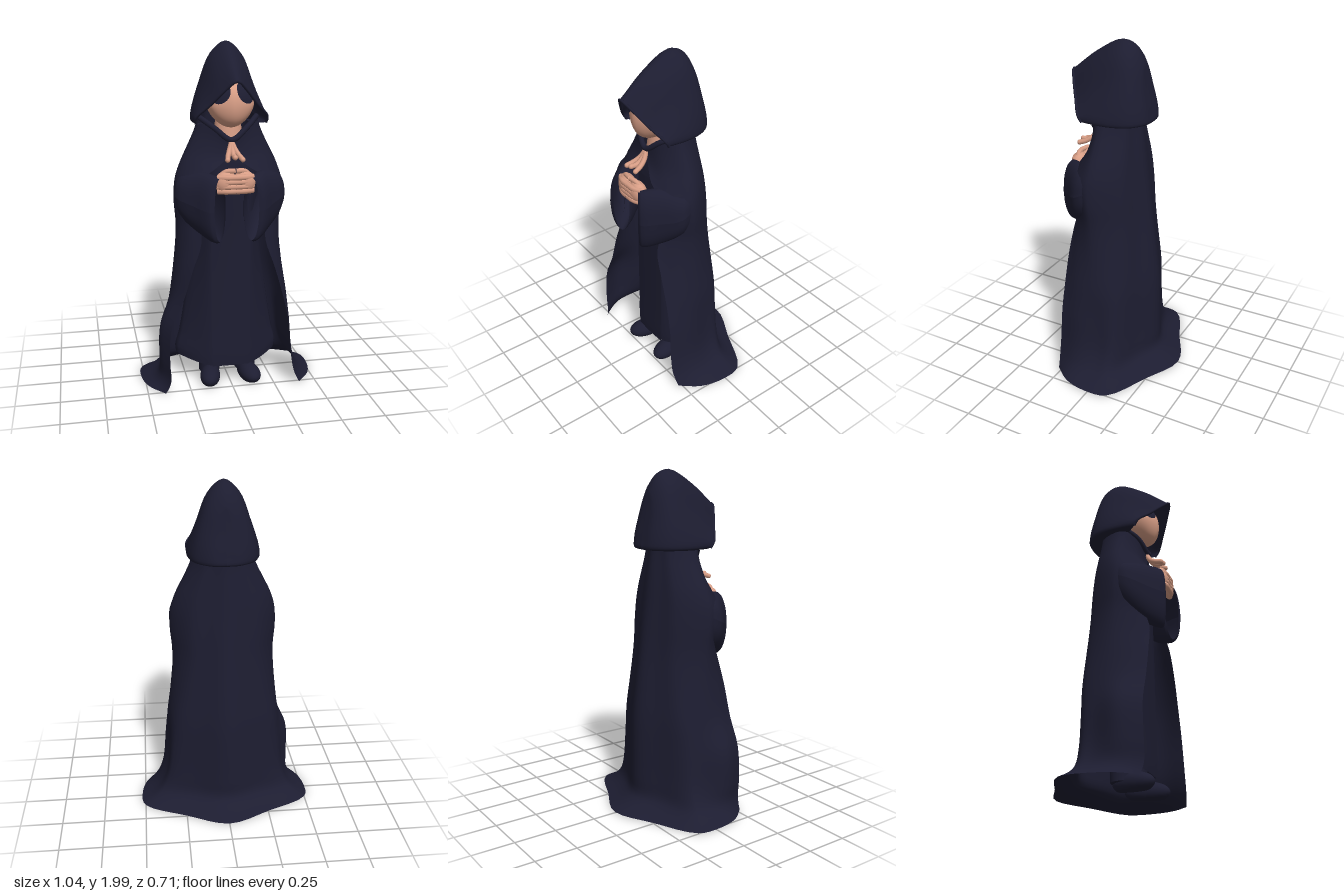
import * as THREE from 'three';

const navy = new THREE.MeshStandardMaterial({ color: 0x1d1d31, side: THREE.DoubleSide });
navy.name = 'navy cloth';
const skin = new THREE.MeshStandardMaterial({ color: 0xd89e86 });
skin.name = 'skin';

const V = (x, y, z) => new THREE.Vector3(x, y, z);
const mirrored = (half) => [...half.slice(1).reverse().map((p) => V(-p.x, p.y, p.z)), ...half];

// Smooth surface through a grid of cross-sections
function surface(rows, sub) {
  const smooth = (pts) => new THREE.CatmullRomCurve3(pts).getPoints((pts.length - 1) * sub);
  const across = rows.map(smooth);
  const columns = across[0].map((_, i) => smooth(across.map((r) => r[i])));
  const n = columns[0].length;
  const index = [];
  for (let i = 0; i < columns.length - 1; i++) {
    for (let j = 0; j < n - 1; j++) {
      const a = i * n + j;
      index.push(a, a + 1, a + n, a + 1, a + n + 1, a + n);
    }
  }
  const g = new THREE.BufferGeometry().setFromPoints(columns.flat());
  g.setIndex(index);
  g.computeVertexNormals();
  return g;
}

const tube = (points, radius) =>
  new THREE.TubeGeometry(new THREE.CatmullRomCurve3(points), 32, radius, 8);

// Point on the face: a long flat-fronted ellipsoid with a centre ridge and a narrow chin
function headPoint(p) {
  const x = p.x * 0.13 * (p.y < 0 ? 1 + 0.2 * p.y : 1);
  const front = p.z > 0 ? Math.pow(p.z, 0.5) : p.z;
  const ridge = p.z > 0 ? 0.014 * p.z * (1 - Math.min(1, Math.abs(p.x) * 1.6)) : 0;
  return p.set(x, 1.66 + p.y * 0.125, 0.125 + front * 0.135 + ridge);
}

function moveVertices(g, rule) {
  const pos = g.attributes.position;
  const p = V(0, 0, 0);
  for (let i = 0; i < pos.count; i++) {
    rule(p.fromBufferAttribute(pos, i));
    pos.setXYZ(i, p.x, p.y, p.z);
  }
  g.computeVertexNormals();
  return g;
}

export function createModel() {
  const model = new THREE.Group();
  const add = (name, geometry, material) => {
    const m = new THREE.Mesh(geometry, material);
    m.name = name;
    model.add(m);
    return m;
  };

  // Cloak: y back, y front, half width, back z, front edge x, front edge z, extra on right
  const cloakRows = [
    [1.6, 1.47, 0.165, -0.085, 0.0, 0.2, 0],
    [1.51, 1.42, 0.195, -0.09, 0.0, 0.195, 0],
    [1.42, 1.37, 0.237, -0.1, 0.03, 0.205, 0],
    [1.33, 1.31, 0.28, -0.11, 0.11, 0.24, 0],
    [1.24, 1.24, 0.307, -0.12, 0.22, 0.235, 0],
    [1.12, 1.12, 0.314, -0.135, 0.255, 0.19, 0],
    [1.0, 1.0, 0.304, -0.15, 0.19, 0.23, 0],
    [0.9, 0.9, 0.305, -0.163, 0.185, 0.262, 0],
    [0.75, 0.75, 0.317, -0.183, 0.235, 0.272, 0],
    [0.57, 0.57, 0.335, -0.203, 0.288, 0.274, 0.005],
    [0.4, 0.4, 0.338, -0.208, 0.325, 0.278, 0.055],
    [0.2, 0.2, 0.357, -0.21, 0.342, 0.284, 0.045],
    [0.1, 0.1, 0.4, -0.215, 0.36, 0.284, 0.012],
    [0.05, 0.05, 0.45, -0.27, 0.38, 0.278, 0],
    [0.012, 0.012, 0.52, -0.355, 0.4, 0.272, 0],
  ];
  const cloakSection = ([yb, yf, w, zb, xe, zf, extra], side) => {
    const y = (t) => yb + (yf - yb) * t;
    const k = THREE.MathUtils.smoothstep(yb, 0.15, 1.25);
    const bulge = side < 0 ? extra : 0;
    // The back is a shallow wedge whose corners move inward towards the shoulders
    const cornerX = (0.96 - 0.3 * k) * w;
    const cornerZ = zb * (0.33 + 0.17 * k);
    const sideZ = 0.02 + 0.07 * k;
    const mx = (w + xe) / 2 + (zf - sideZ) * 0.1 + bulge;
    const mz = (sideZ + zf) / 2 + (w - xe) * 0.14;
    return [
      V(0, yb, zb), V(0.5 * cornerX, yb, zb + (cornerZ - zb) * 0.44), V(cornerX, yb, cornerZ),
      V(w + 0.4 * bulge, y(0.1), sideZ), V(mx, y(0.5), mz), V(xe + 0.7 * bulge, yf, zf),
    ].map((p) => V(p.x * side, p.y, p.z));
  };
  const cloak = cloakRows.map((r) => [
    ...cloakSection(r, -1).slice(1).reverse(), ...cloakSection(r, 1),
  ]);
  add('cloak', surface(cloak, 4), navy);

  // Collar band along the neckline
  const neckline = cloakSection(cloakRows[0], 1).slice(3).reverse();
  add('collar', tube(mirrored(neckline), 0.016), navy);

  // Hood: arches from the front opening to the back, each listed from top to hem
  const hoodArches = [
    [V(0, 1.8, 0.345), V(0.06, 1.75, 0.312), V(0.13, 1.67, 0.26), V(0.2, 1.595, 0.205), V(0.197, 1.562, 0.185)],
    [V(0, 1.92, 0.19), V(0.08, 1.86, 0.17), V(0.14, 1.75, 0.14), V(0.205, 1.61, 0.1), V(0.203, 1.56, 0.08)],
    [V(0, 2.0, 0.03), V(0.085, 1.935, 0.02), V(0.145, 1.79, 0.01), V(0.198, 1.61, 0), V(0.195, 1.56, 0)],
    [V(0, 1.97, -0.05), V(0.075, 1.91, -0.055), V(0.13, 1.77, -0.07), V(0.165, 1.61, -0.085), V(0.16, 1.56, -0.085)],
    [V(0, 1.88, -0.1), V(0.04, 1.84, -0.105), V(0.07, 1.74, -0.12), V(0.085, 1.61, -0.145), V(0.08, 1.56, -0.145)],
    [V(0, 1.85, -0.106), V(0, 1.81, -0.113), V(0, 1.72, -0.13), V(0, 1.61, -0.152), V(0, 1.56, -0.156)],
  ];
  const hood = hoodArches.map((half) => {
    const hem = half[4];
    return mirrored([...half, V(hem.x * 0.6, 1.555, hem.z * 0.55)]);
  });
  add('hood', surface(hood, 4), navy);
  add('hoodRim', tube(mirrored(hoodArches[0]), 0.008), navy);

  // Robe: y, half width, front z, half width of the flat front
  const robeRows = [
    [1.5, 0.1, 0.14, 0.05], [1.4, 0.16, 0.165, 0.07], [1.28, 0.2, 0.185, 0.09], [1.1, 0.19, 0.185, 0.1],
    [0.92, 0.19, 0.185, 0.112], [0.6, 0.235, 0.187, 0.115], [0.3, 0.285, 0.19, 0.114],
    [0.17, 0.31, 0.192, 0.113], [0.12, 0.305, 0.19, 0.113],
  ];
  const robe = robeRows.map(([y, w, z, flat]) => {
    const hem = y < 0.2 ? 0.04 : 0;
    return mirrored([
      V(0, y, z), V(flat * 0.5, y, z - 0.001), V(flat, y, z - 0.006),
      V((flat + w) / 2, y + hem * 0.4, z * 0.58 + 0.02), V(w, y + hem, 0.02),
      V(w * 0.6, y + hem, -0.055), V(0, y + hem, -0.075),
    ]);
  });
  add('robe', surface(robe, 3), navy);

  // Front panel of the robe, slightly raised
  const panel = robeRows.slice(2).map(([y, , z, flat]) =>
    [-1, -0.5, 0, 0.5, 1].map((t) => V(t * flat, y, z + 0.008 - 0.004 * t * t)));
  add('robePanel', surface(panel, 3), navy);

  // Neck and face
  const neck = add('neck', new THREE.CylinderGeometry(0.07, 0.09, 0.16, 24), skin);
  neck.position.set(0, 1.5, 0.088);
  add('face', moveVertices(new THREE.SphereGeometry(1, 40, 28), headPoint), skin);

  for (const s of [1, -1]) {
    const side = s > 0 ? 'left' : 'right';

    // Dark eye patch lying on the face and running up under the hood
    const eye = moveVertices(new THREE.RingGeometry(0.01, 1, 32, 6), (p) => {
      const turn = s * 0.67 + p.x * 0.5;
      const theta = 0.95 - p.y * 0.53;
      p.set(Math.sin(turn) * Math.sin(theta), Math.cos(theta), Math.cos(turn) * Math.sin(theta));
      headPoint(p.multiplyScalar(1.04));
    });
    add(side + 'EyePatch', eye, navy);

    // Wide hanging sleeve: centre x, y, z, half height, half thickness
    const sleeveRows = [
      [0.25, 1.21, 0.03, 0.07, 0.05], [0.25, 1.155, 0.12, 0.13, 0.085],
      [0.165, 1.12, 0.225, 0.18, 0.08], [0.105, 1.1, 0.305, 0.188, 0.066], [0.088, 1.1, 0.315, 0.18, 0.048],
    ];
    const sleeve = sleeveRows.map(([x, y, z, h, t]) =>
      Array.from({ length: 13 }, (_, i) => {
        const a = (i / 12) * Math.PI * 2;
        const o = t * Math.cos(a);
        return V(s * (x + o * 0.77), y + h * Math.sin(a), z + o * 0.64);
      }));
    add(side + 'Sleeve', surface(sleeve, 3), navy);

    // Folded hand with close fingers reaching across and a thumb on top
    const palm = add(side + 'Palm', new THREE.SphereGeometry(1, 20, 14), skin);
    palm.scale.set(0.064, 0.066, 0.046);
    palm.position.set(s * 0.05, 1.25, 0.292);
    for (let i = 0; i < 4; i++) {
      const y = 1.282 - i * 0.025;
      const finger = [V(s * 0.098, y - 0.002, 0.3), V(s * 0.05, y, 0.322), V(0, y, 0.324)];
      add(side + 'Finger', tube(finger, 0.0175), skin);
    }
    const thumb = [V(s * 0.085, 1.285, 0.285), V(s * 0.05, 1.312, 0.298), V(0, 1.316, 0.306)];
    add(side + 'Thumb', tube(thumb, 0.015), skin);

    // Leg and shoe, flat under the sole
    const leg = add(side + 'Leg', new THREE.CylinderGeometry(0.07, 0.062, 0.3, 20), navy);
    leg.position.set(s * 0.11, 0.2, 0.07);
    const shoe = moveVertices(new THREE.SphereGeometry(1, 24, 18), (p) => {
      const width = 0.058 + 0.012 * p.z;
      p.set(p.x * width, Math.max(0.008, 0.045 + p.y * 0.058), p.z * 0.125);
    });
    const foot = add(side + 'Shoe', shoe, navy);
    foot.position.set(s * 0.115, 0, 0.135);
    foot.rotation.y = s * 0.2;
  }

  // Small raised fingers at the collar
  for (const t of [-1, 0, 1]) {
    const path = [
      V(0, 1.46, 0.195), V(t * 0.018, 1.415, 0.222), V(t * 0.033, 1.388, 0.26),
      V(t * 0.042, 1.375 + 0.012 * (1 - Math.abs(t)), 0.297),
    ];
    add('raisedFinger', tube(path, 0.0145), skin);
    const tip = add('raisedFingertip', new THREE.SphereGeometry(0.0145, 12, 8), skin);
    tip.position.copy(path[3]);
  }

  return model;
}
